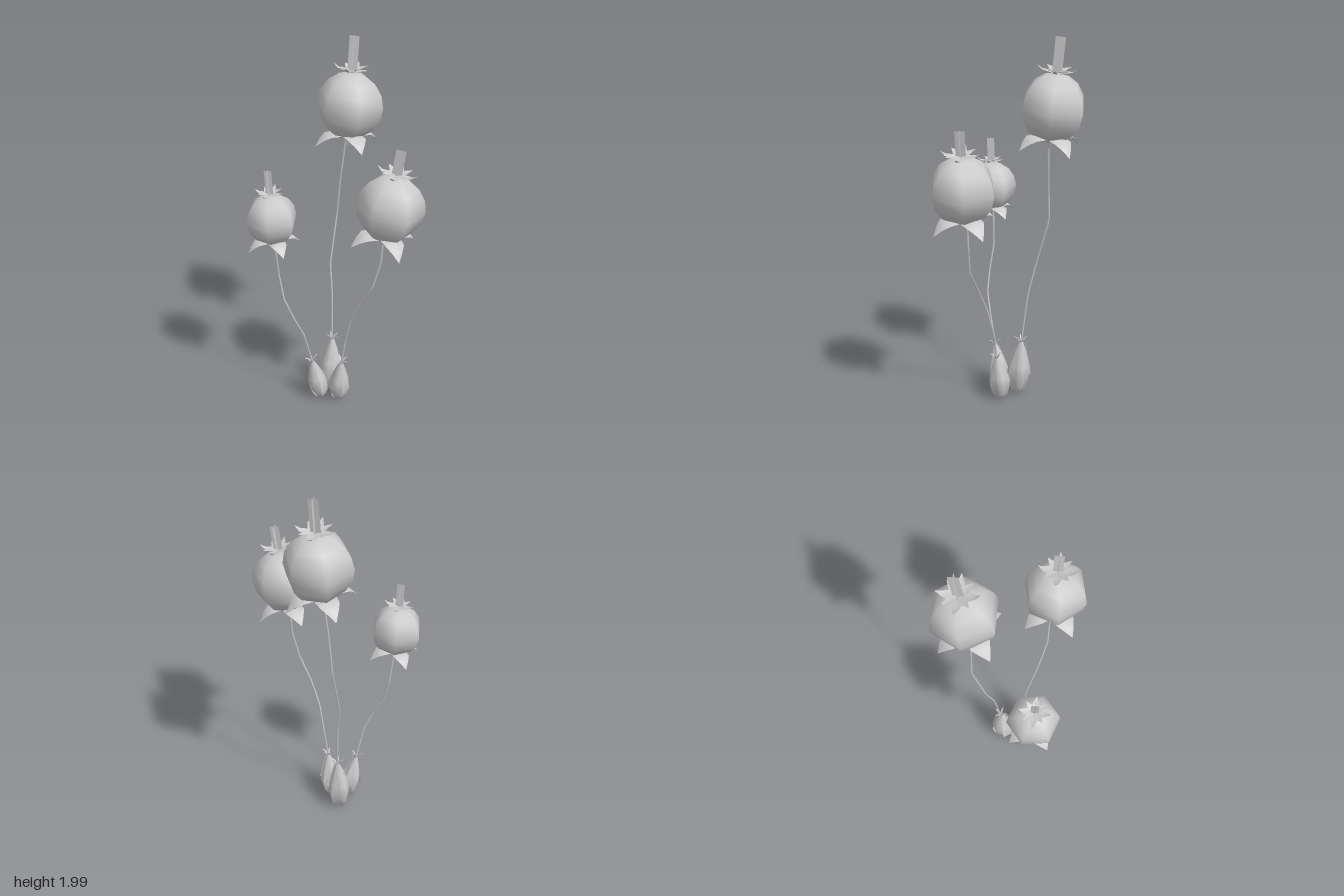
import * as THREE from 'three';

const grey = new THREE.MeshStandardMaterial({ color: 0xcccccc, side: THREE.DoubleSide });
const V = (a) => new THREE.Vector3(...a);
const UP = new THREE.Vector3(0, 1, 0);

function add(parent, name, geometry) {
  const mesh = new THREE.Mesh(geometry, grey);
  mesh.name = name;
  parent.add(mesh);
  return mesh;
}

// Pointed leaf growing along +x; rows are [reach, half width, height], fold lifts the midrib
function leafGeometry(rows, fold) {
  const pos = [], index = [];
  rows.forEach(([r, w, y], i) => {
    pos.push(r, y, -w, r, y + fold * w, 0, r, y, w);
    if (i === 0) return;
    for (let k = 0; k < 2; k++) {
      const a = (i - 1) * 3 + k, b = a + 3;
      index.push(a, a + 1, b, a + 1, b + 1, b);
    }
  });
  const g = new THREE.BufferGeometry();
  g.setAttribute('position', new THREE.Float32BufferAttribute(pos, 3));
  g.setIndex(index);
  g.computeVertexNormals();
  return g;
}

// Ring of identical leaves around the y axis
function whorl(parent, name, count, startDeg, y, geometry) {
  const ring = new THREE.Group();
  ring.name = name;
  ring.position.y = y;
  for (let i = 0; i < count; i++) {
    const leaf = add(ring, name + 'Leaf', geometry);
    leaf.rotation.y = -THREE.MathUtils.degToRad(startDeg + (i * 360) / count);
  }
  parent.add(ring);
}

const petal = leafGeometry(
  [[0.005, 0.012, -0.17], [0.06, 0.055, -0.145], [0.11, 0.05, -0.148], [0.145, 0.028, -0.17], [0.178, 0.001, -0.205]], 0.25);
const longCrown = leafGeometry(
  [[0.005, 0.012, 0], [0.04, 0.026, 0.005], [0.075, 0.013, 0.01], [0.1, 0.001, 0.028]], -0.2);
const shortCrown = leafGeometry(
  [[0.005, 0.01, 0.005], [0.035, 0.022, 0.012], [0.06, 0.012, 0.018], [0.085, 0.001, 0.022]], -0.2);
const sprout = leafGeometry(
  [[0.004, 0.007, -0.03], [0.009, 0.007, 0], [0.018, 0.005, 0.018], [0.038, 0.001, 0.026]], 0);

// Six-sided fruit with drooping petals below, a crown and a crossed-blade stub above
function makeHead({ center, lean, scale, turn, stub }) {
  const head = new THREE.Group();
  head.name = 'seedHead';
  head.position.copy(V(center));
  head.quaternion.setFromUnitVectors(UP, V(lean).normalize());
  head.scale.setScalar(scale);

  const fruit = add(head, 'fruit', new THREE.SphereGeometry(0.172, 6, 8));
  fruit.rotation.y = THREE.MathUtils.degToRad(turn);
  whorl(head, 'petals', 4, 52, 0, petal);
  add(head, 'neck', new THREE.CylinderGeometry(0.022, 0.006, 0.05, 5, 1, true)).position.y = -0.185;
  whorl(head, 'longCrown', 4, 5, 0.176, longCrown);
  whorl(head, 'shortCrown', 4, 50, 0.176, shortCrown);
  for (let i = 0; i < 2; i++) {
    const blade = add(head, 'stubBlade', new THREE.PlaneGeometry(0.05, stub - 0.16));
    blade.position.y = (stub + 0.16) / 2;
    blade.rotation.y = (i * Math.PI) / 2;
  }
  return head;
}

// Leaning teardrop bulb with curled sprouts at its tip
function makeBulb({ base, tip, radius }) {
  const bulb = new THREE.Group();
  bulb.name = 'bulb';
  const axis = V(tip).sub(V(base)), h = axis.length();
  bulb.position.copy(V(base));
  bulb.quaternion.setFromUnitVectors(UP, axis.normalize());
  const profile = [[0.01, 0], [0.45, 0], [0.72, 0.14], [1, 0.38], [0.85, 0.55], [0.5, 0.8], [0.16, 1]]
    .map(([r, y]) => new THREE.Vector2(r * radius, y * h));
  add(bulb, 'bulbBody', new THREE.LatheGeometry(profile, 6));
  // outer scales hugging the body
  const scaleLeaf = leafGeometry(
    [[0.45, 0.3, 0.02], [0.78, 0.42, 0.16], [0.95, 0.45, 0.38], [0.72, 0.3, 0.62], [0.3, 0.02, 0.98]]
      .map(([r, w, y]) => [r * radius, w * radius, y * h]), 0.15);
  whorl(bulb, 'bulbScales', 3, 30, 0, scaleLeaf);
  whorl(bulb, 'sprouts', 5, 20, h, sprout);
  return bulb;
}

// Thin stem with straight runs between its joints
function makeStem(points) {
  const path = new THREE.CurvePath();
  for (let i = 1; i < points.length; i++) path.add(new THREE.LineCurve3(V(points[i - 1]), V(points[i])));
  return new THREE.TubeGeometry(path, 28, 0.005, 4);
}

const plants = [
  {
    name: 'tallPlant',
    bulb: { base: [-0.085, 0.01, -0.03], tip: [-0.072, 0.325, -0.052], radius: 0.066 },
    stem: [[-0.072, 0.3, -0.05], [-0.08, 0.6, -0.085], [-0.1, 0.77, -0.125], [-0.08, 1.04, -0.195], [-0.06, 1.25, -0.19], [-0.03, 1.48, -0.188]],
    head: { center: [-0.015, 1.65, -0.21], lean: [0.04, 1, -0.09], scale: 1, turn: 0, stub: 0.35 },
  },
  {
    name: 'leftPlant',
    bulb: { base: [-0.012, 0.01, 0.052], tip: [0.013, 0.265, 0.075], radius: 0.058 },
    stem: [[0.01, 0.24, 0.073], [0.04, 0.42, 0.085], [0.075, 0.58, 0.118], [0.13, 0.71, 0.152], [0.205, 0.84, 0.185], [0.245, 0.99, 0.185], [0.256, 1.15, 0.186]],
    head: { center: [0.288, 1.307, 0.2], lean: [0.15, 1, 0.01], scale: 0.98, turn: 10, stub: 0.31 },
  },
  {
    name: 'rightPlant',
    bulb: { base: [-0.108, 0.015, 0.065], tip: [-0.144, 0.265, 0.1], radius: 0.054 },
    stem: [[-0.14, 0.24, 0.098], [-0.18, 0.46, 0.135], [-0.22, 0.55, 0.152], [-0.28, 0.67, 0.145], [-0.31, 0.8, 0.125], [-0.328, 1.01, 0.13]],
    head: { center: [-0.333, 1.138, 0.138], lean: [-0.04, 1, 0.02], scale: 0.78, turn: -21, stub: 0.342 },
  },
];

export function createModel() {
  const model = new THREE.Group();
  model.name = 'seedHeadPlants';
  for (const p of plants) {
    const plant = new THREE.Group();
    plant.name = p.name;
    plant.add(makeBulb(p.bulb), makeHead(p.head));
    add(plant, 'stem', makeStem(p.stem));
    model.add(plant);
  }
  return model;
}
